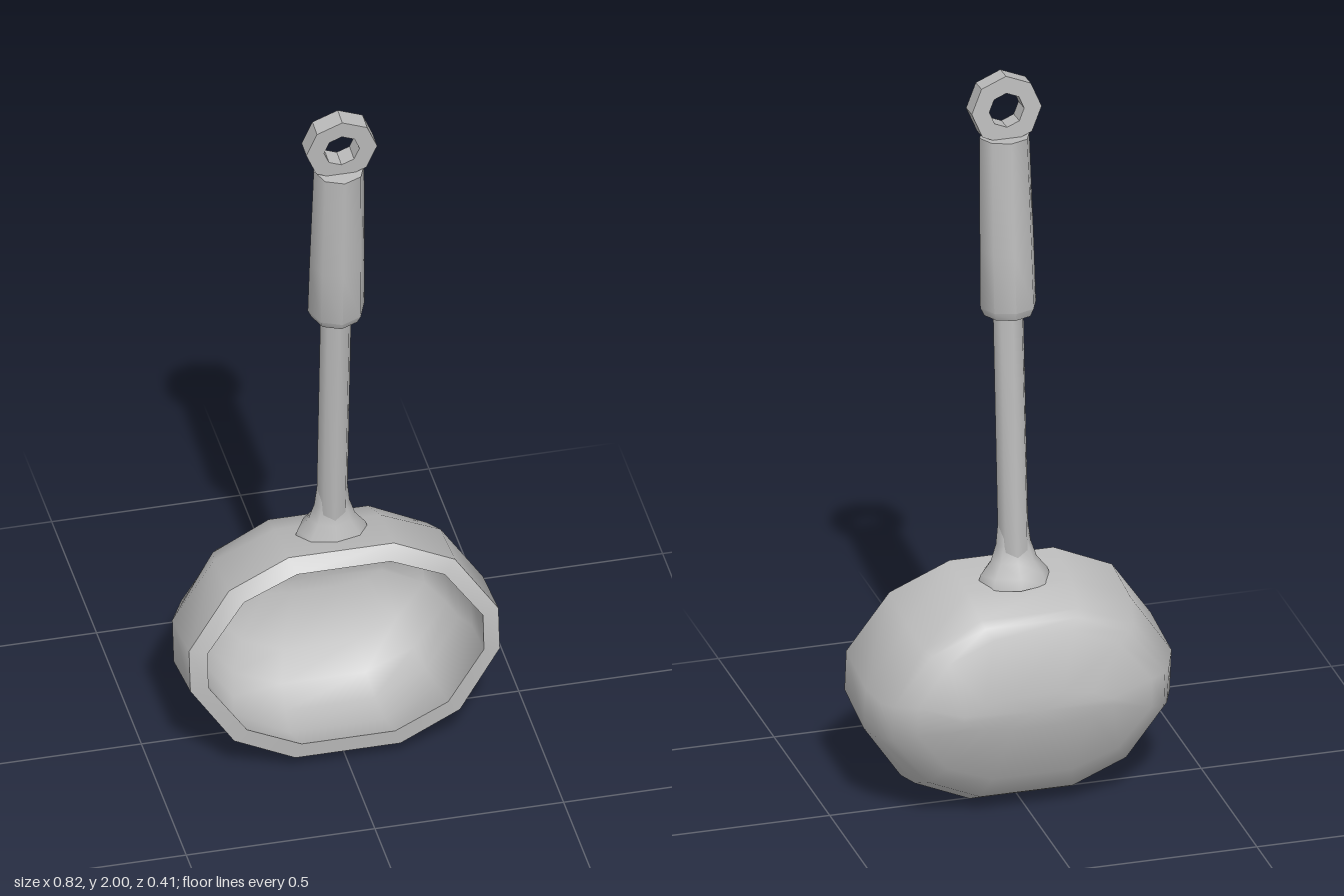
import * as THREE from 'three';
import { toCreasedNormals } from 'three/addons/utils/BufferGeometryUtils.js';

// One quarter of the twelve-sided bowl outline, mirrored into a full loop
const quarter = [[1, 0.2], [0.73, 0.75], [0.34, 1]];
const flip = (pts, sx, sy) => pts.map(([x, y]) => [x * sx, y * sy]);
const outline = [
  ...quarter,
  ...flip([...quarter].reverse(), -1, 1),
  ...flip(quarter, -1, -1),
  ...flip([...quarter].reverse(), 1, -1),
];

// Bowl section: [top y, top z, bottom y, bottom z, half width, side z]
function bowlRing([ty, tz, by, bz, w, sz]) {
  const midY = (ty + by) / 2, midZ = (tz + bz) / 2;
  return outline.map(([fx, fy]) => new THREE.Vector3(
    fx * w,
    midY + fy * (ty - by) / 2,
    midZ + fy * (tz - bz) / 2 + (sz - midZ) * (1 - fy * fy),
  ));
}

// Skin over a list of equal loops, closed at both ends
function loft(rings) {
  const n = rings[0].length, last = rings.length - 1;
  const centre = (ring) => ring.reduce((s, p) => s.add(p), new THREE.Vector3()).divideScalar(n);
  const points = [...rings.flat(), centre(rings[0]), centre(rings[last])];
  const index = [];
  for (let j = 0; j < n; j++) {
    const k = (j + 1) % n;
    for (let i = 0; i < last; i++) {
      const a = i * n + j, b = i * n + k, c = b + n, d = a + n;
      index.push(a, d, b, b, d, c);
    }
    index.push(points.length - 2, j, k);
    index.push(points.length - 1, last * n + k, last * n + j);
  }
  const geo = new THREE.BufferGeometry().setFromPoints(points);
  geo.setIndex(index);
  return toCreasedNormals(geo, 0.9);
}

// Eight-sided turned part from [radius, height] pairs
function turned(profile) {
  const geo = new THREE.LatheGeometry(profile.map(([r, y]) => new THREE.Vector2(r, y)), 8);
  geo.deleteAttribute('normal');
  geo.deleteAttribute('uv');
  return toCreasedNormals(geo, 0.85);
}

function octagon(path, r) {
  for (let i = 0; i < 8; i++) {
    const a = i * Math.PI / 4;
    path[i ? 'lineTo' : 'moveTo'](r * Math.cos(a), r * Math.sin(a));
  }
  path.closePath();
  return path;
}

export function createModel() {
  const model = new THREE.Group();
  const steel = new THREE.MeshStandardMaterial({ name: 'steel grey', color: 0xbbbbbb });
  const add = (parent, name, geo) => {
    const mesh = new THREE.Mesh(geo, steel);
    mesh.name = name;
    parent.add(mesh);
    return mesh;
  };

  // Bowl: outer wall from rim to back, with an inner wall set inside it
  const outer = [
    [0.59, 0.155, 0.085, 0.205, 0.365, 0.175],
    [0.625, 0.125, 0.04, 0.2, 0.41, 0.16],
    [0.605, -0.03, 0.003, 0.05, 0.412, -0.02],
    [0.565, -0.13, 0.015, -0.03, 0.388, -0.075],
    [0.548, -0.148, 0.05, -0.1, 0.365, -0.12],
    [0.52, -0.165, 0.12, -0.15, 0.315, -0.175],
    [0.37, -0.207, 0.28, -0.207, 0.2, -0.207],
  ];
  const inner = outer.slice(2).map(([ty, tz, by, bz, w, sz]) => {
    const s = 0.03;
    const inset = Math.min(s, (ty - by) * 0.08);
    return [ty - inset, tz + s, by + inset, bz + s, w * 0.9, sz + s];
  }).reverse();
  add(model, 'bowl', loft([...inner, ...outer].map(bowlRing)));

  // Handle leans slightly forward
  const handle = new THREE.Group();
  handle.name = 'handle';
  handle.position.set(0, 0.62, 0.014);
  handle.rotation.x = 0.07;
  model.add(handle);

  add(handle, 'shaft', turned([[0, -0.02], [0.041, -0.02], [0.041, 0.76], [0, 0.76]]));

  // Flared foot joining the shaft to the bowl
  const foot = add(handle, 'shaftFoot', turned([
    [0, -0.03], [0.1, -0.025], [0.09, 0.005], [0.062, 0.04], [0.047, 0.085], [0.041, 0.14],
  ]));
  foot.scale.z = 0.72;

  add(handle, 'grip', turned([
    [0, 0.72], [0.065, 0.72], [0.075, 0.742], [0.073, 0.9], [0.067, 1.21], [0, 1.21],
  ]));

  // Hanging ring
  const shape = octagon(new THREE.Shape(), 0.094);
  shape.holes.push(octagon(new THREE.Path(), 0.047));
  const ring = new THREE.ExtrudeGeometry(shape, { depth: 0.052, bevelEnabled: false });
  ring.translate(0, 1.288, -0.026);
  add(handle, 'hangingRing', ring);

  return model;
}
